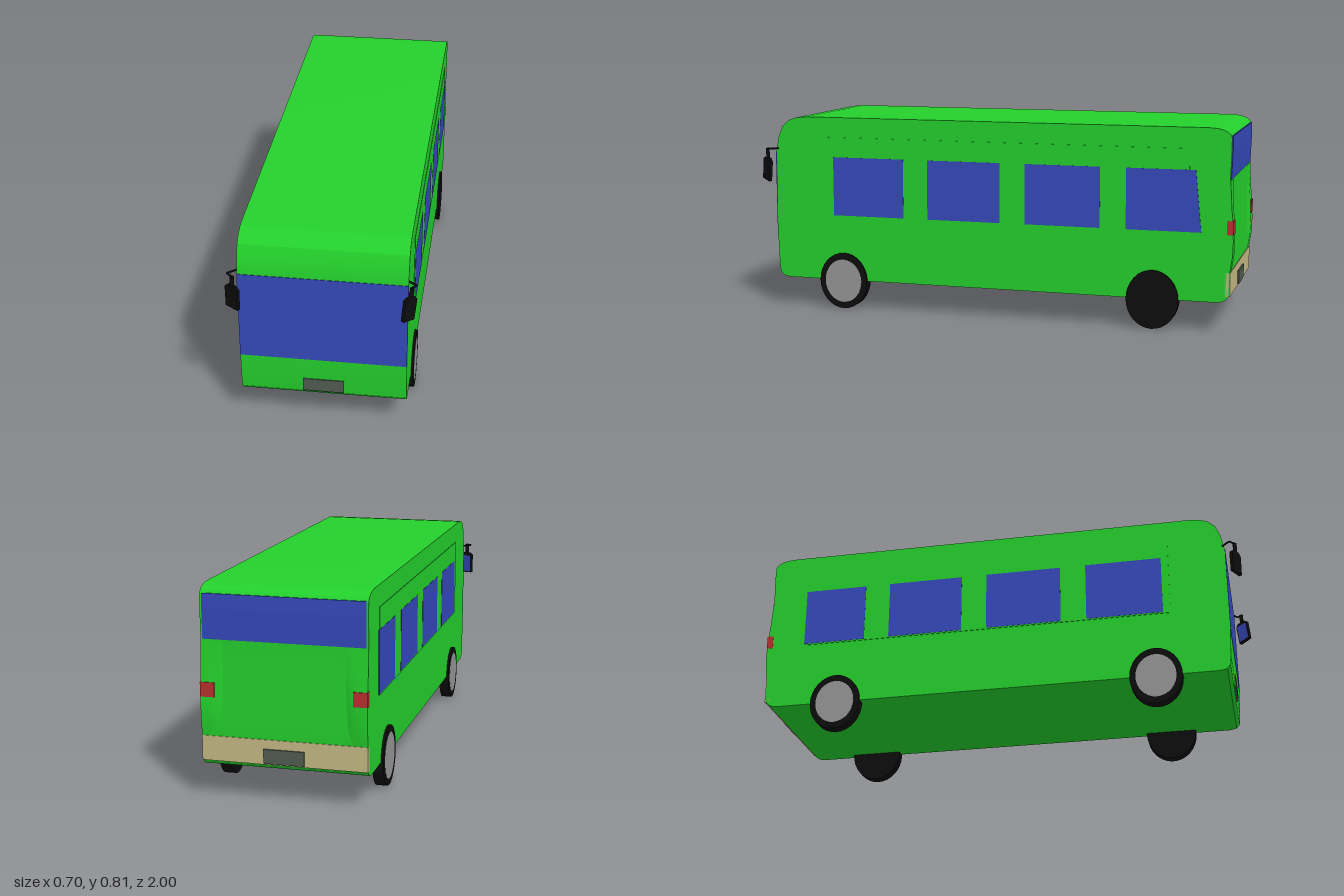
import * as THREE from 'three';
import { toCreasedNormals } from 'three/addons/utils/BufferGeometryUtils.js';

const mat = (color) => new THREE.MeshStandardMaterial({ color, side: THREE.DoubleSide });
const paint = mat(0x24d02c), glass = mat(0x3549ba), black = mat(0x0d0d0d), hubGrey = mat(0x959595);
const beige = mat(0xc4b884), red = mat(0xb83030), plateGrey = mat(0x505c50);
const HALF = 0.316; // half of the body width

export function createModel() {
  const bus = new THREE.Group();
  bus.name = 'bus';

  const add = (name, geometry, material, parent = bus) => {
    const mesh = new THREE.Mesh(geometry, material);
    mesh.name = name;
    parent.add(mesh);
    return mesh;
  };
  const box = (name, x0, x1, y0, y1, z0, z1, material) => {
    const mesh = add(name, new THREE.BoxGeometry(x1 - x0, y1 - y0, z1 - z0), material);
    mesh.position.set((x0 + x1) / 2, (y0 + y1) / 2, (z0 + z1) / 2);
    return mesh;
  };
  // Shape drawn in (z, y), extruded from x0 to x1
  const sideExtrude = (shape, x0, x1, curveSegments = 8) =>
    new THREE.ExtrudeGeometry(shape, { depth: x1 - x0, bevelEnabled: false, curveSegments })
      .rotateY(-Math.PI / 2).translate(x1, 0, 0);
  const polygon = (pts) => new THREE.Shape(pts.map(([a, b]) => new THREE.Vector2(a, b)));

  // Body shell: side profile with rounded nose and softly curved tail
  const profile = polygon([
    [-0.94, 0.12], [0.88, 0.12], [0.908, 0.126], [0.922, 0.143], [0.926, 0.18], [0.93, 0.295],
    [0.93, 0.655], [0.917, 0.72], [0.898, 0.765], [0.87, 0.79], [0.835, 0.802], [0.79, 0.806], [-0.89, 0.806],
  ]);
  profile.quadraticCurveTo(-0.975, 0.806, -0.986, 0.77);
  for (const [z, y] of [[-0.987, 0.72], [-0.983, 0.6], [-0.983, 0.5], [-0.988, 0.3], [-0.988, 0.16]]) profile.lineTo(z, y);
  profile.quadraticCurveTo(-0.985, 0.124, -0.94, 0.12);
  add('body', toCreasedNormals(sideExtrude(profile, -HALF, HALF), 0.22), paint);

  // Windscreen, rear window, bumper band and number plates
  box('windscreen', -HALF, HALF, 0.295, 0.655, 0.92, 0.932, glass);
  const rearGlass = polygon([[-0.97, 0.605], [-0.986, 0.605], [-0.99, 0.72], [-0.989, 0.775], [-0.97, 0.775]]);
  add('rearWindow', sideExtrude(rearGlass, -0.308, 0.308), glass);
  box('rearBumper', -HALF, HALF, 0.145, 0.24, -0.991, -0.97, beige);
  box('frontPlate', -0.078, 0.078, 0.15, 0.203, 0.92, 0.931, plateGrey);
  box('rearPlate', -0.078, 0.078, 0.15, 0.205, -0.997, -0.98, plateGrey);

  for (const s of [1, -1]) {
    const side = s > 0 ? 'left' : 'right';

    // Slightly raised side panel carrying the windows
    const panelX = [s * (HALF - 0.01), s * (HALF + 0.0025)].sort((a, b) => a - b);
    box(side + 'SidePanel', ...panelX, 0.39, 0.723, -0.825, 0.70, paint);

    // Side windows; the rearmost left one has a slanted rear edge
    const glassX = [s * (HALF - 0.005), s * (HALF + 0.0035)].sort((a, b) => a - b);
    const spans = [[0.36, 0.67], [-0.055, 0.255], [-0.47, -0.16], [-0.835, -0.575]];
    spans.forEach(([z0, z1], i) => {
      const slanted = s > 0 && i === 3;
      const low = slanted ? -0.875 : z0, high = slanted ? -0.85 : z0;
      const pane = polygon([[low, 0.395], [z1, 0.395], [z1, 0.64], [high, 0.64]]);
      add(side + 'Window' + (i + 1), sideExtrude(pane, ...glassX), glass);
    });

    // Bulging rear corner: grid of columns (x, bulge share) and rows (y, z)
    const cols = [[0.232, 0], [0.262, 1], [HALF, 1], [HALF, -0.5]];
    const rows = [[0.24, -0.989], [0.3, -0.998], [0.36, -1.0], [0.43, -0.997], [0.5, -0.991], [0.6, -0.985]];
    const pod = new THREE.PlaneGeometry(1, 1, cols.length - 1, rows.length - 1);
    rows.forEach(([y, z], r) => cols.forEach(([x, k], c) => {
      pod.attributes.position.setXYZ(r * cols.length + c, s * x, y, THREE.MathUtils.lerp(-0.984, z, k));
    }));
    add(side + 'RearCorner', toCreasedNormals(pod, 0.5), paint);
    const lampX = [s * 0.262, s * (HALF + 0.001)].sort((a, b) => a - b);
    box(side + 'TailLamp', ...lampX, 0.39, 0.445, -1.0, -0.975, red);

    // Wheels, a little taller than long
    for (const [end, z] of [['Front', 0.63], ['Rear', -0.685]]) {
      const wheel = new THREE.Group();
      wheel.name = side + end + 'Wheel';
      wheel.position.set(s * 0.304, 0.118, z);
      wheel.scale.set(1, 0.118, 0.105);
      const tyre = new THREE.CylinderGeometry(1, 1, 0.043, 32).rotateZ(Math.PI / 2);
      add('tyre', tyre, black, wheel);
      if (!(s > 0 && end === 'Rear')) {
        const hub = add('hub', new THREE.CylinderGeometry(0.77, 0.77, 0.004, 32).rotateZ(Math.PI / 2), hubGrey, wheel);
        hub.position.x = s * 0.0205;
      }
      bus.add(wheel);
    }
  }

  // Mirrors: bent arm, stem and a housing with chamfered shoulders
  const housing = polygon([
    [-0.029, -0.046], [0.029, -0.049], [0.03, 0.035], [0.018, 0.048], [-0.018, 0.048], [-0.03, 0.038],
  ]);
  const mirrors = [
    { name: 'left', at: [0.322, 0.583, 0.968], yaw: 0.9, tilt: -0.14, arm: [[0.306, 0.915], [0.347, 0.945], [0.332, 0.962]] },
    { name: 'right', at: [-0.326, 0.583, 0.97], yaw: -0.54, tilt: 0, arm: [[-0.3, 0.91], [-0.347, 0.95], [-0.324, 0.972]] },
  ];
  for (const { name, at, yaw, tilt, arm } of mirrors) {
    const head = new THREE.Group();
    head.name = name + 'Mirror';
    head.position.set(...at);
    head.rotation.set(0, yaw, tilt);
    const shell = new THREE.ExtrudeGeometry(housing, { depth: 0.014, bevelEnabled: false });
    add('housing', shell.translate(0, 0, -0.007), black, head);
    const pane = add('mirrorGlass', new THREE.BoxGeometry(0.05, 0.076, 0.002), glass, head);
    pane.position.set(0, -0.004, -0.007);
    bus.add(head);

    const path = new THREE.CurvePath();
    const pts = arm.map(([x, z]) => new THREE.Vector3(x, 0.67, z));
    const top = new THREE.Vector3(0, 0.045, 0).applyEuler(head.rotation).add(head.position);
    pts.forEach((p, i) => i && path.add(new THREE.LineCurve3(pts[i - 1], p)));
    add(name + 'MirrorArm', new THREE.TubeGeometry(path, 12, 0.004, 6), black);
    const stem = new THREE.LineCurve3(pts[2], top);
    add(name + 'MirrorStem', new THREE.TubeGeometry(stem, 1, 0.008, 8), black);
  }

  bus.position.x = -0.002;
  const model = new THREE.Group();
  model.name = 'model';
  model.add(bus);
  return model;
}
